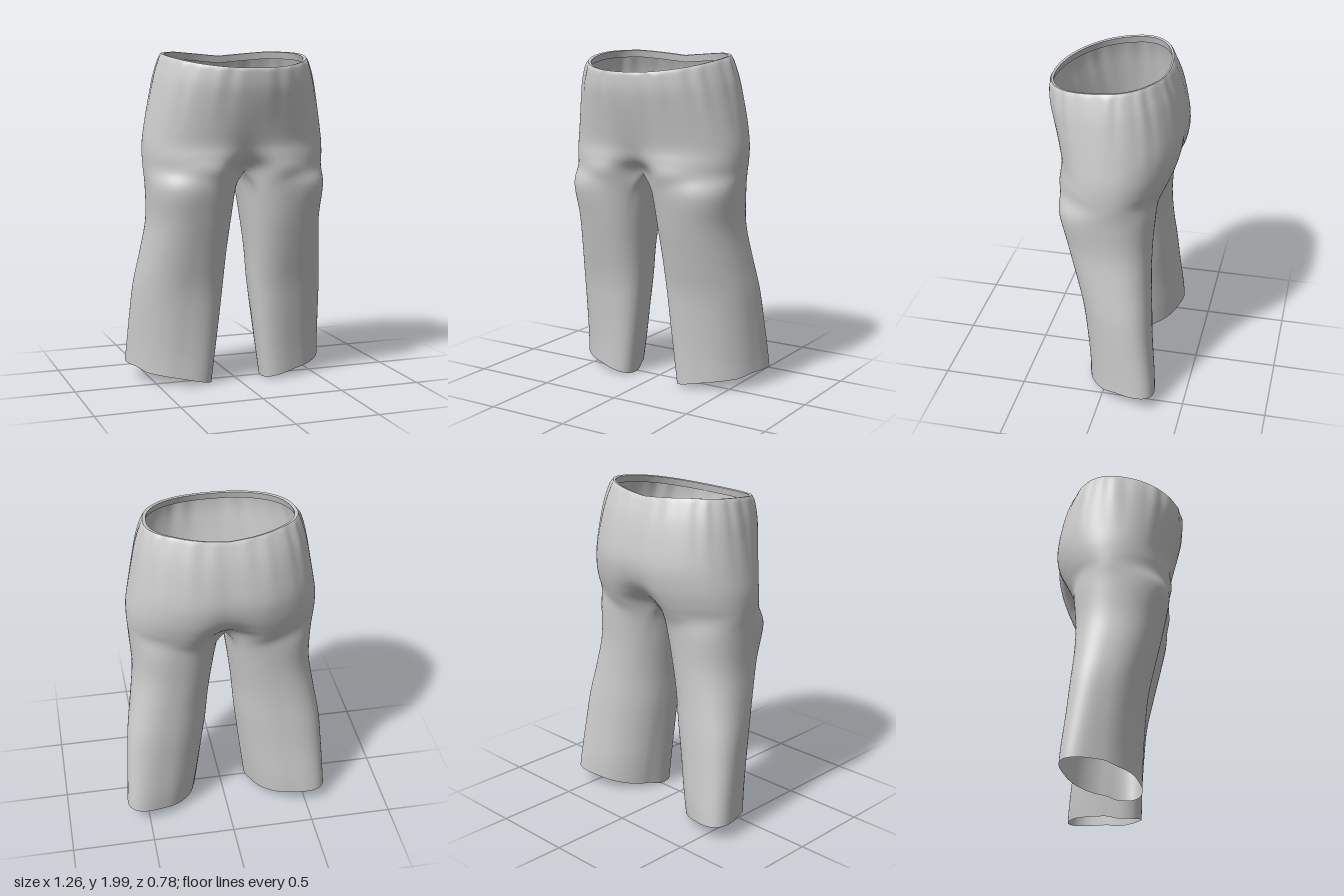
import * as THREE from 'three';
import { mergeVertices } from 'three/addons/utils/BufferGeometryUtils.js';

const M = 64;   // steps round the outer half, front centre to back centre
const K = 24;   // steps along the inside leg, back to front
const SUB = 5;  // smoothing steps between rings
const lerp = THREE.MathUtils.lerp;
const power = (v, p) => Math.sign(v) * Math.abs(v) ** p;

// Torso rings: y front, y back, half width, z front, z back, dent front, dent back, gather
const torso = [
  [1.910, 1.998, 0.437, 0.385, -0.298, 0, 0.02, 0.000],
  [1.885, 1.968, 0.454, 0.392, -0.315, 0, 0.02, 0.013],
  [1.800, 1.870, 0.485, 0.388, -0.355, 0, 0.03, 0.010],
  [1.700, 1.740, 0.511, 0.366, -0.388, 0, 0.04, 0.005],
  [1.580, 1.600, 0.536, 0.338, -0.407, 0.02, 0.05, 0.002],
  [1.470, 1.480, 0.555, 0.318, -0.392, 0.07, 0.09, 0],
  [1.390, 1.390, 0.558, 0.328, -0.365, 0.19, 0.22, 0],
  [1.310, 1.310, 0.554, 0.338, -0.333, 0.40, 0.44, 0],
];
const join = torso[torso.length - 1];

// Leg rings: y, inner x, outer x, z front, z back, slant of the oval
const legs = [
  [1.20, 0.018, 0.546, 0.290, -0.275, 0.00],
  [1.00, 0.050, 0.538, 0.250, -0.262, 0.08],
  [0.80, 0.075, 0.565, 0.203, -0.266, 0.20],
  [0.60, 0.092, 0.597, 0.160, -0.283, 0.32],
  [0.40, 0.115, 0.612, 0.140, -0.300, 0.43],
  [0.20, 0.140, 0.624, 0.127, -0.322, 0.52],
  [0.00, 0.165, 0.630, 0.122, -0.330, 0.56],
];

// Point on a torso ring; a = PI/2 is front centre, -PI/2 back centre
function torsoPoint([yf, yb, w, zf, zb, df, db, gather], a) {
  const s = Math.sin(a), p = 0.92;
  const x = w * power(Math.max(0, Math.cos(a)), p);
  const reach = s > 0 ? zf + 0.03 : -zb - 0.03;
  const dent = 1 - (s > 0 ? df : db) * Math.exp(-((x / 0.13) ** 2));
  const z = -0.03 + reach * power(s, p) * dent;
  const k = 1 + gather * Math.cos(22 * a) * Math.abs(Math.cos(5 * a));
  const u = Math.max(0, (z - zb) / (zf - zb));
  const dip = s < 0 ? 0.3 * (yb - yf) * Math.max(0, 1 - x / 0.3) : 0;
  return new THREE.Vector3(x * k, lerp(yb, yf, u ** 2) - dip, z * k);
}

// Point on a leg ring, with a hem that rises to the outside and back
function legPoint([y, xi, xo, zf, zb, slant], t) {
  const p = 0.87;
  const x = (xi + xo) / 2 + (xo - xi) / 2 * power(Math.cos(t), p);
  const z = (zf + zb) / 2 + (zf - zb) / 2 * power(Math.sin(t - slant), p);
  const hem = 0.004 + 0.165 * (x - 0.165) + 0.010 * Math.sin(Math.PI * (x - 0.165) / 0.465)
    + 0.018 * THREE.MathUtils.smoothstep(-z, 0, 0.1);
  return new THREE.Vector3(x, y || hem, z);
}

// Control points running down the garment at step i round the ring
function column(i) {
  const spread = 0.8 * Math.PI, pts = [];
  const outer = i <= M;
  const t = outer ? lerp(spread, -spread, i / M)
    : lerp(-spread, spread - 2 * Math.PI, (i - M) / K);
  if (outer) {
    const a = lerp(Math.PI / 2, -Math.PI / 2, i / M);
    torso.forEach(r => pts.push(torsoPoint(r, a)));
  } else {
    // Crotch seam
    const s = (i - M) / K;
    const f = torsoPoint(join, Math.PI / 2), b = torsoPoint(join, -Math.PI / 2);
    const rise = (2 * s - 1) ** 2;
    pts.push(new THREE.Vector3(0, lerp(1.265, lerp(b.y, f.y, s), rise), lerp(b.z, f.z, s)));
  }
  legs.forEach(r => pts.push(legPoint(r, t)));
  return pts;
}

// Smooth a column with a Catmull-Rom curve
function smooth(pts) {
  const out = [], last = pts.length - 1;
  const at = i => pts[THREE.MathUtils.clamp(i, 0, last)];
  const cr = (a, b, c, d, t) => 0.5 * (2 * b + (c - a) * t
    + (2 * a - 5 * b + 4 * c - d) * t * t + (3 * b - a - 3 * c + d) * t ** 3);
  for (let j = 0; j < last; j++) {
    for (let k = 0; k < SUB; k++) {
      const [a, b, c, d] = [at(j - 1), at(j), at(j + 1), at(j + 2)], t = k / SUB;
      out.push(new THREE.Vector3(Math.max(0, cr(a.x, b.x, c.x, d.x, t)),
        cr(a.y, b.y, c.y, d.y, t), cr(a.z, b.z, c.z, d.z, t)));
    }
  }
  out.push(pts[last].clone());
  return out;
}

// Join neighbouring columns (aligned at the bottom) and mirror to the other side
function skin(columns, closed) {
  const pos = [];
  const tri = (a, b, c) => {
    for (const p of [a, b, c]) pos.push(p.x, p.y, p.z);
    for (const p of [a, c, b]) pos.push(-p.x, p.y, p.z);
  };
  const count = closed ? columns.length : columns.length - 1;
  for (let i = 0; i < count; i++) {
    const A = columns[i], B = columns[(i + 1) % columns.length];
    const rows = Math.min(A.length, B.length), oa = A.length - rows, ob = B.length - rows;
    for (let r = 0; r < rows - 1; r++) {
      const a = A[oa + r], b = A[oa + r + 1], c = B[ob + r + 1], d = B[ob + r];
      tri(a, b, c);
      tri(a, c, d);
    }
  }
  const g = new THREE.BufferGeometry();
  g.setAttribute('position', new THREE.Float32BufferAttribute(pos, 3));
  const merged = mergeVertices(g, 1e-5);
  merged.computeVertexNormals();
  return merged;
}

export function createModel() {
  const group = new THREE.Group();
  group.name = 'trousers';
  const material = new THREE.MeshStandardMaterial({ color: 0xcccccc, side: THREE.DoubleSide });
  const add = (name, geometry) => {
    const mesh = new THREE.Mesh(geometry, material);
    mesh.name = name;
    group.add(mesh);
  };

  // Cloth: seat, hips and both legs
  const columns = [];
  for (let i = 0; i < M + K; i++) columns.push(smooth(column(i)));
  add('cloth', skin(columns, true));

  // Waistband: flat rim and the folded inner edge
  const rim = [], fold = [];
  for (let i = 0; i <= M; i++) {
    const p = torsoPoint(torso[0], lerp(Math.PI / 2, -Math.PI / 2, i / M));
    const q = new THREE.Vector3(p.x * 0.955, p.y - 0.003, p.z * 0.965);
    const r = new THREE.Vector3(p.x * 0.985, p.y - 0.045, p.z * 0.99);
    rim.push([q, p]);
    fold.push([r, q]);
  }
  add('waistbandRim', skin(rim, false));
  add('waistbandFold', skin(fold, false));
  return group;
}
